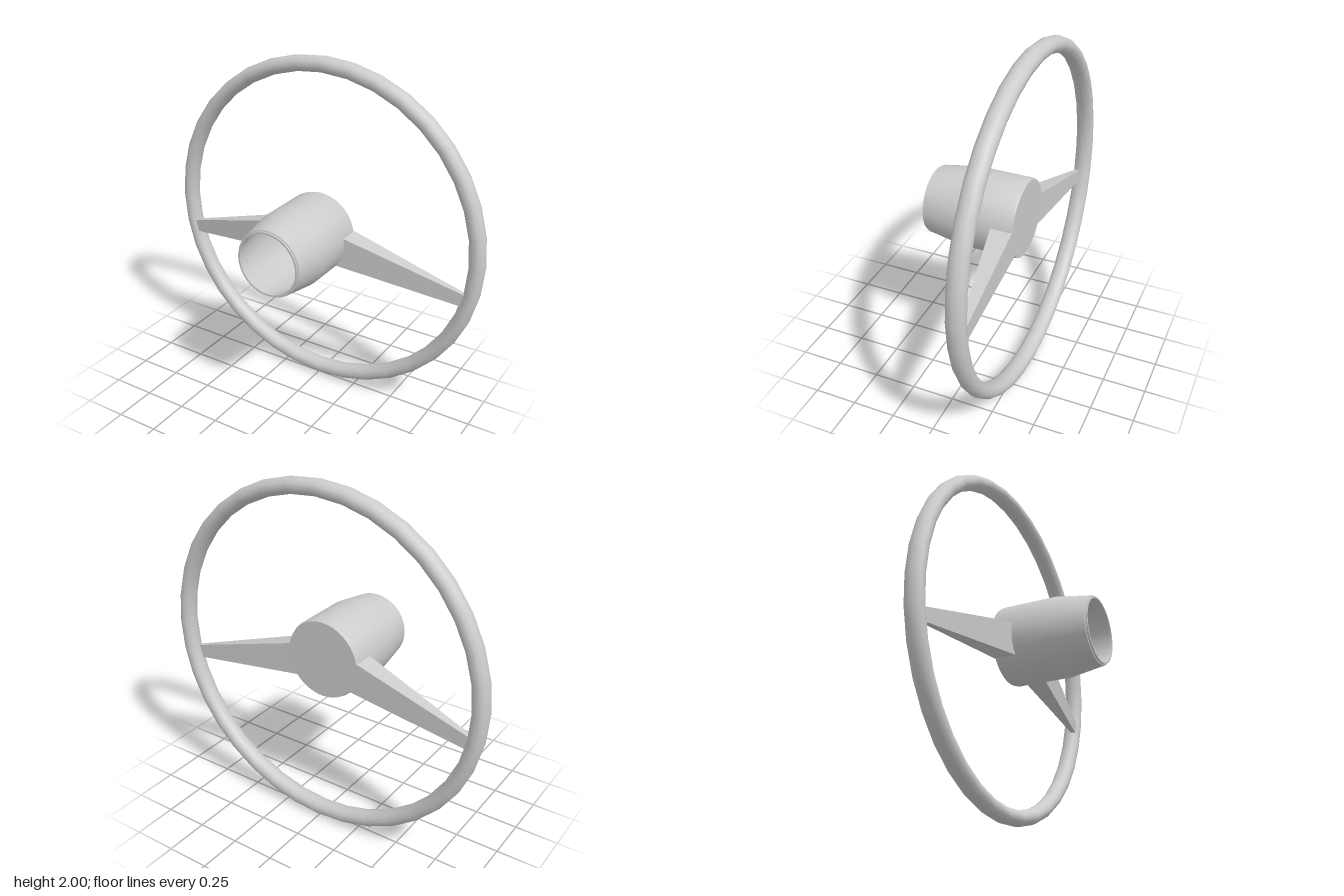
import * as THREE from 'three';
import { toCreasedNormals } from 'three/addons/utils/BufferGeometryUtils.js';

const grey = new THREE.MeshStandardMaterial({ color: 0xcccccc });

function addPart(group, name, geometry) {
  const mesh = new THREE.Mesh(geometry, grey);
  mesh.name = name;
  group.add(mesh);
  return mesh;
}

// Tapered spoke: a box whose corners move to the hub or to the rim
function spokeGeometry(side) {
  const root = { topX: 0.218, bottomX: 0.175, top: 1.04, bottom: 0.86, front: -0.115, back: -0.24 };
  const tip = { topX: 0.91, bottomX: 0.89, top: 0.835, bottom: 0.762, front: -0.225, back: -0.25 };
  const geometry = new THREE.BoxGeometry(1, 1, 1);
  const p = geometry.attributes.position;
  for (let i = 0; i < p.count; i++) {
    const end = p.getX(i) * side > 0 ? tip : root;
    const isTop = p.getY(i) > 0;
    p.setXYZ(
      i,
      side * (isTop ? end.topX : end.bottomX),
      isTop ? end.top : end.bottom,
      p.getZ(i) > 0 ? end.front : end.back
    );
  }
  geometry.computeVertexNormals();
  return geometry;
}

export function createModel() {
  const model = new THREE.Group();
  model.name = 'steeringWheel';

  // Rim: slightly oval section, leaning by a hair
  const rim = addPart(model, 'rim', new THREE.TorusGeometry(0.955, 0.045, 12, 36).scale(1, 1, 1.18));
  rim.position.set(0, 1, -0.26);
  rim.rotation.x = 0.005;

  // Hub: closed back, tapered front with a lip and a deep open bore
  const profile = [
    [0, -0.24], [0.222, -0.24], [0.228, -0.22], [0.228, 0.09], [0.195, 0.295],
    [0.188, 0.297], [0.188, 0.307], [0.177, 0.307], [0.177, 0.285],
    [0.212, 0.09], [0.212, -0.22], [0, -0.22],
  ].map(([r, z]) => new THREE.Vector2(r, z));
  const hubGeometry = toCreasedNormals(new THREE.LatheGeometry(profile, 40).rotateX(Math.PI / 2), 0.5);
  addPart(model, 'hub', hubGeometry).position.y = 1;

  // Spokes
  addPart(model, 'leftSpoke', spokeGeometry(1));
  addPart(model, 'rightSpoke', spokeGeometry(-1));

  return model;
}
